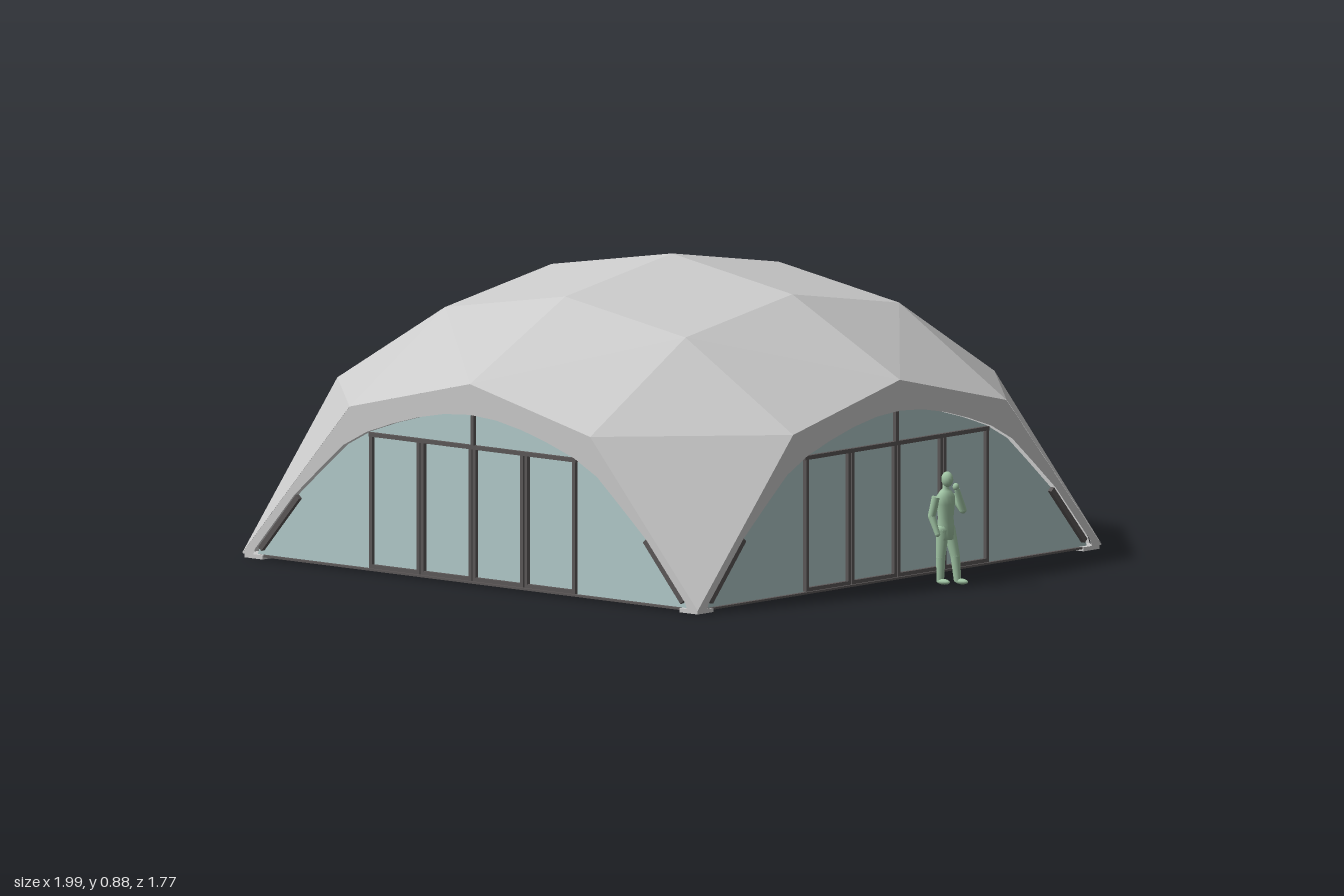
import * as THREE from 'three';

const mat = (color) => new THREE.MeshStandardMaterial({ color, side: THREE.DoubleSide, flatShading: true });
const CX = -0.123, HX = 0.877, HZ = 0.885; // dome centre and half spans
const W = 0.88, K = 0.528;                 // wall half width, position of the quarter nodes
const V = (x, y, z) => new THREE.Vector3(x, y, z);

// Node heights from the centre (0) out to the eave (2)
const HEIGHT = [[0.875, 0.8, 0.59], [0.8, 0.725, 0.48], [0.59, 0.48, 0.012]];
const STEP = [0, K, 1];
const node = (i, j, sx, sz) => V(sx * HX * STEP[i], HEIGHT[i][j], sz * HZ * STEP[j]);

// Half of the wall arch, from crown to foot
const ARCH = [[0, 0.5], [0.1, 0.493], [0.2, 0.474], [0.3, 0.446], [0.4, 0.412], [0.49, 0.365], [0.58, 0.288], [0.68, 0.2], [0.83, 0.03], [0.838, 0.01]];
const archPoints = () => [...ARCH.slice(1).reverse().map(([x, y]) => [-x, y]), ...ARCH].map(([x, y]) => new THREE.Vector2(x, y));

export function createModel() {
  const root = new THREE.Group();
  const grey = mat(0xcccccc), glass = mat(0xb2cbcb), dark = mat(0x5c5858);
  const green = new THREE.MeshStandardMaterial({ color: 0xa0c4a4 });

  const add = (parent, name, geo, material, pos = [0, 0, 0]) => {
    const m = new THREE.Mesh(geo, material);
    m.name = name;
    m.position.set(...pos);
    parent.add(m);
    return m;
  };
  // Square bar between two points
  const bar = (parent, name, a, b, w, d, material) => {
    const m = add(parent, name, new THREE.BoxGeometry(w, d, a.distanceTo(b)), material);
    m.position.copy(a).lerp(b, 0.5);
    m.lookAt(b);
    return m;
  };

  // Faceted roof: one quadrant of triangles mirrored four ways
  const dome = new THREE.Group();
  dome.name = 'dome';
  const tris = [];
  const struts = new Map();
  for (const sx of [1, -1]) for (const sz of [1, -1]) {
    const tri = (...ids) => {
      const p = ids.map(([i, j]) => node(i, j, sx, sz));
      (sx * sz > 0 ? p : [p[0], p[2], p[1]]).forEach((q) => tris.push(q.x, q.y, q.z));
      // Struts follow each triangle edge, just below the skin
      p.forEach((a, n) => {
        const b = p[(n + 1) % 3];
        const mid = a.clone().add(b);
        if (Math.abs(mid.x) > 1.99 * HX || Math.abs(mid.z) > 1.99 * HZ) return;
        struts.set(mid.toArray().map((v) => Math.round(v * 1000) || 0).join(), [a, b]);
      });
    };
    for (let i = 0; i < 2; i++) for (let j = 0; j < 2; j++) {
      tri([i, j], [i, j + 1], [i + 1, j]);
      tri([i + 1, j], [i, j + 1], [i + 1, j + 1]);
    }
  }
  const skin = new THREE.BufferGeometry();
  skin.setAttribute('position', new THREE.Float32BufferAttribute(tris, 3));
  skin.computeVertexNormals();
  add(dome, 'roofSkin', skin, grey);
  const inset = (p) => V(p.x * 0.965, Math.max(p.y - 0.022, 0.015), p.z * 0.965);
  for (const [a, b] of struts.values()) bar(dome, 'roofStrut', inset(a), inset(b), 0.022, 0.018, grey);

  // Foot plates at the four corners
  for (const sx of [1, -1]) for (const sz of [1, -1]) {
    add(dome, 'footPlate', new THREE.BoxGeometry(0.07, 0.012, 0.07), grey, [sx * (HX - 0.04), 0.006, sz * (HZ - 0.04)]);
    add(dome, 'footBracket', new THREE.BoxGeometry(0.03, 0.025, 0.03), dark, [sx * (HX - 0.05), 0.022, sz * (HZ - 0.05)]);
  }
  dome.position.x = CX;
  root.add(dome);

  // One side of the shelter: eave fascia around an arch, filled with a panel or glazing
  const wall = (name, glazed) => {
    const g = new THREE.Group();
    g.name = name;
    const eave = [[-W, 0.012], [-W * K, 0.48], [0, 0.59], [W * K, 0.48], [W, 0.012]].map(([x, y]) => new THREE.Vector2(x, y));
    add(g, 'fascia', new THREE.ShapeGeometry(new THREE.Shape([...eave, ...archPoints().reverse()])), grey);
    const z = glazed ? -0.02 : -0.004;
    add(g, glazed ? 'glassWall' : 'solidWall', new THREE.ShapeGeometry(new THREE.Shape(archPoints())), glazed ? glass : grey, [0, 0, z]);
    if (!glazed) return g;
    // Four door leaves, each with its own frame
    const box = (n, w, h, x, y) => add(g, n, new THREE.BoxGeometry(w, h, 0.024), dark, [x, y, z]);
    for (const c of [-0.3, -0.1, 0.1, 0.3]) {
      for (const s of [-1, 1]) box('doorStile', 0.011, 0.395, c + s * 0.092, 0.212);
      box('doorTopRail', 0.2, 0.012, c, 0.404);
      box('doorBottomRail', 0.195, 0.011, c, 0.019);
    }
    box('topMullion', 0.012, 0.09, 0, 0.452);
    box('sill', 1.66, 0.006, 0, 0.009);
    // Slanting bars beside the arch feet
    for (const s of [-1, 1]) bar(g, 'archFootBar', V(s * 0.815, 0.03, -0.01), V(s * 0.67, 0.196, -0.01), 0.014, 0.016, dark);
    return g;
  };
  const sides = [['frontWall', 0, true], ['leftWall', 1, true], ['backWall', 2, false], ['rightWall', 3, false]];
  for (const [name, turn, glazed] of sides) {
    const g = wall(name, glazed);
    const alongX = turn % 2 === 0;
    g.rotation.y = turn * Math.PI / 2;
    g.scale.x = (alongX ? HX : HZ) / W;
    const a = g.rotation.y;
    g.position.set(CX + Math.sin(a) * (HX - 0.001), 0, Math.cos(a) * (HZ - 0.001));
    root.add(g);
  }

  // Standing figure outside the left wall, facing +x, one hand at the chin
  const person = new THREE.Group();
  person.name = 'person';
  const limb = (name, a, b, r0, r1) => {
    const m = add(person, name, new THREE.CylinderGeometry(r1, r0, a.distanceTo(b), 10), green);
    m.position.copy(a).lerp(b, 0.5);
    m.quaternion.setFromUnitVectors(V(0, 1, 0), b.clone().sub(a).normalize());
    add(person, name + 'Joint', new THREE.SphereGeometry(r1, 10, 8), green, b.toArray());
  };
  const ball = (name, r, pos, sx, sy, sz) => add(person, name, new THREE.SphereGeometry(r, 14, 10), green, pos).scale.set(sx, sy, sz);
  for (const [s, fx] of [[1, -0.005], [-1, 0.03]]) {
    limb('shin', V(fx, 0.015, s * 0.018), V(fx * 0.7, 0.085, s * 0.018), 0.011, 0.014);
    limb('thigh', V(fx * 0.7, 0.085, s * 0.018), V(0, 0.165, s * 0.014), 0.014, 0.019);
    ball('shoe', 0.012, [fx + 0.013, 0.015, s * 0.02], 2, 0.7, 0.95);
  }
  const coat = [[0.001, 0.135], [0.028, 0.137], [0.026, 0.18], [0.024, 0.2], [0.028, 0.24], [0.029, 0.262], [0.018, 0.278], [0.01, 0.285], [0.009, 0.3]];
  const torso = add(person, 'coat', new THREE.LatheGeometry(coat.map(([x, y]) => new THREE.Vector2(x, y)), 16), green);
  torso.scale.set(0.85, 1, 1.05);
  ball('head', 0.019, [0.006, 0.312, 0], 1, 1.2, 0.85);
  limb('restingUpperArm', V(-0.01, 0.262, 0.03), V(-0.022, 0.205, 0.037), 0.013, 0.011);
  limb('restingForearm', V(-0.022, 0.205, 0.037), V(0, 0.155, 0.036), 0.011, 0.008);
  limb('raisedUpperArm', V(0.002, 0.262, -0.03), V(0.036, 0.222, -0.034), 0.013, 0.011);
  limb('raisedForearm', V(0.036, 0.222, -0.034), V(0.034, 0.285, -0.01), 0.011, 0.008);
  ball('raisedHand', 0.01, [0.033, 0.292, -0.007], 1, 1.1, 0.9);
  person.position.set(0.925, 0.004, -0.006);
  root.add(person);
  return root;
}
